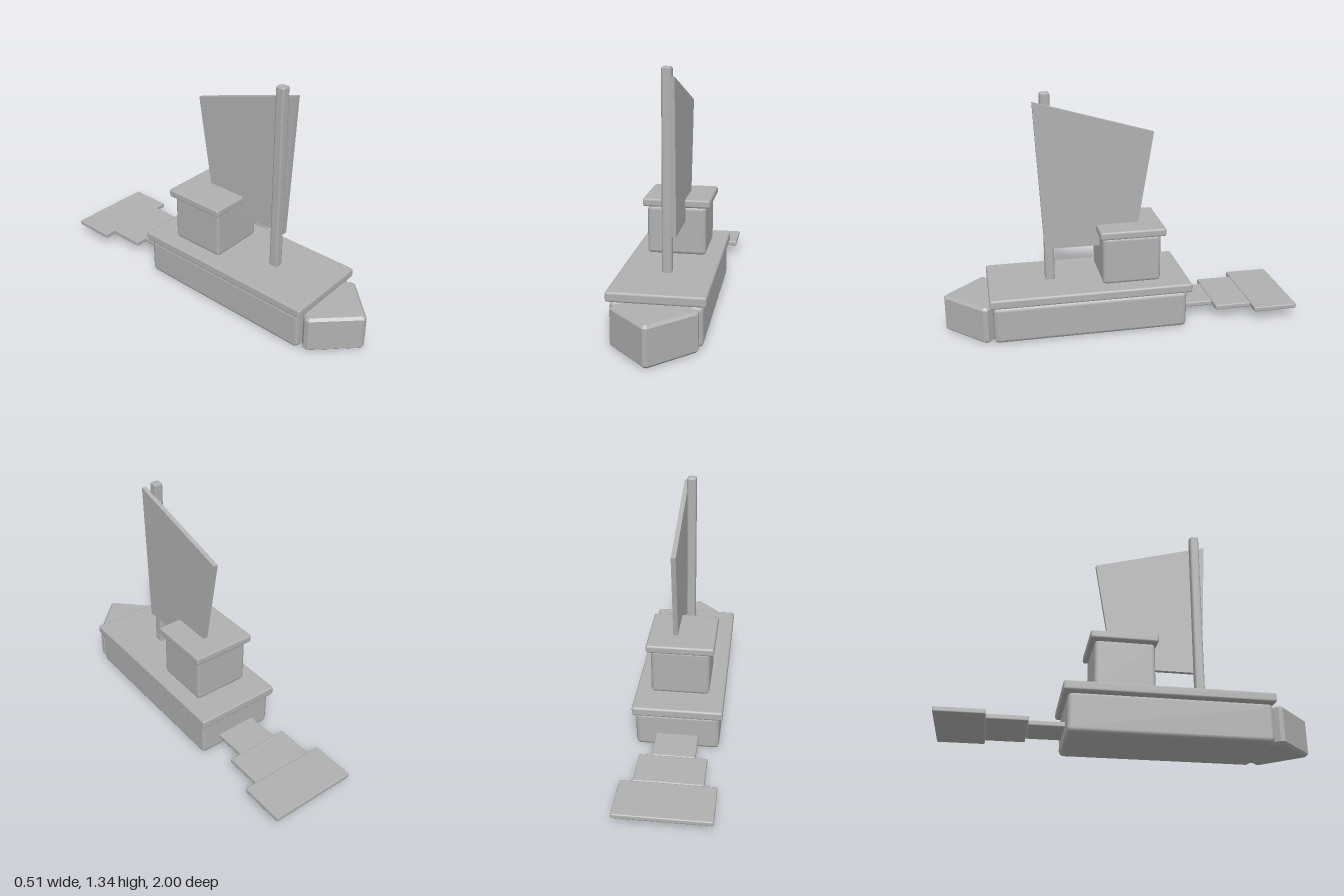
import * as THREE from 'three';
import { RoundedBoxGeometry } from 'three/addons/geometries/RoundedBoxGeometry.js';

const grey = new THREE.MeshStandardMaterial({ color: 0xb0b0b0 });
grey.name = 'plain grey';

// Box with softened edges, given by its extents on each axis
function block(name, [x0, x1], [y0, y1], [z0, z1], bevel) {
  const geometry = new RoundedBoxGeometry(x1 - x0, y1 - y0, z1 - z0, 1, bevel);
  const mesh = new THREE.Mesh(geometry, grey);
  mesh.name = name;
  mesh.position.set((x0 + x1) / 2, (y0 + y1) / 2, (z0 + z1) / 2);
  return mesh;
}

function outline(points) {
  return new THREE.Shape(points.map(([x, y]) => new THREE.Vector2(x, y)));
}

export function createModel() {
  const boat = new THREE.Group();
  boat.name = 'sailingBoat';

  // Hull and deck
  boat.add(block('hull', [-0.235, 0.235], [0, 0.212], [-0.345, 0.74], 0.024));
  boat.add(block('deck', [-0.252, 0.252], [0.215, 0.268], [-0.37, 0.757], 0.012));

  // Wedge bow: plan outline extruded upwards, blunt at the corners
  const half = [[0.012, 1], [0.217, 0.795], [0.217, 0.77], [0.18, 0.735], [0.18, 0.7]];
  const plan = [...half, ...half.map(([x, z]) => [-x, z]).reverse()];
  const bevel = 0.014;
  const bowGeometry = new THREE.ExtrudeGeometry(outline(plan.map(([x, z]) => [x, -z])), {
    depth: 0.212 - 2 * bevel, bevelThickness: bevel, bevelSize: bevel, bevelOffset: -bevel, bevelSegments: 1,
  });
  bowGeometry.rotateX(-Math.PI / 2).translate(0, bevel, 0);
  const bow = new THREE.Mesh(bowGeometry, grey);
  bow.name = 'bow';
  boat.add(bow);

  // Cabin and its roof
  boat.add(block('cabin', [-0.165, 0.165], [0.268, 0.541], [-0.205, 0.125], 0.02));
  boat.add(block('cabinRoof', [-0.189, 0.189], [0.541, 0.587], [-0.23, 0.142], 0.012));

  // Mast and the slanted sail beside it
  boat.add(block('mast', [-0.027, 0.027], [0.26, 1.335], [0.378, 0.432], 0.012));
  const sailSide = [[0.432, 0.463], [-0.078, 0.463], [-0.183, 1.102], [0.475, 1.29]];
  const sailGeometry = new THREE.ExtrudeGeometry(outline(sailSide.map(([z, y]) => [-z, y])), {
    depth: 0.026, bevelEnabled: false,
  });
  sailGeometry.rotateY(Math.PI / 2).translate(0.024, 0, 0);
  const sail = new THREE.Mesh(sailGeometry, grey);
  sail.name = 'sail';
  boat.add(sail);

  // Stepped tail fin, widening towards the stern
  [[0.12, -0.33, -0.532], [0.187, -0.532, -0.745], [0.257, -0.745, -1]].forEach(([w, front, back], i) => {
    boat.add(block(`tailPlate${i + 1}`, [-w, w], [0.058, 0.086], [back, front], 0.007));
  });

  return boat;
}
